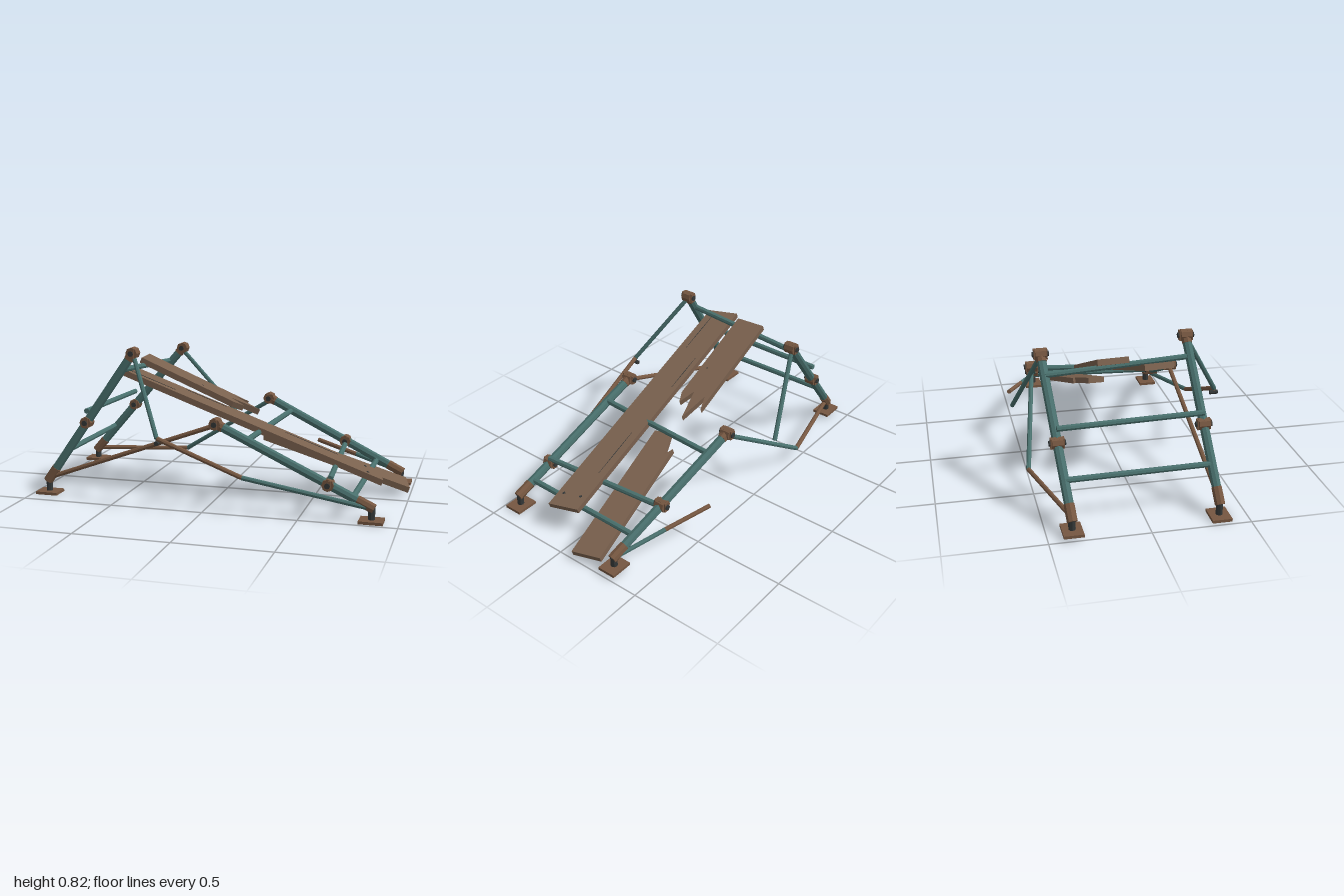
import * as THREE from 'three';

const material = (name, color) => {
  const m = new THREE.MeshStandardMaterial({ color });
  m.name = name;
  m.flatShading = true;
  return m;
};

export function createModel() {
  const group = new THREE.Group();
  group.name = 'collapsedScaffold';
  const paint = material('teal paint', 0x49706d);
  const rust = material('rust', 0x765741);
  const wood = material('weathered wood', 0x7a614e);
  const dark = material('dark steel', 0x343838);
  const V = (p) => new THREE.Vector3(...p);
  const lerp = (a, b, t) => a.map((v, i) => v + (b[i] - v) * t);

  const add = (name, geometry, mat, parent = group) => {
    const mesh = new THREE.Mesh(geometry, mat);
    mesh.name = name;
    parent.add(mesh);
    return mesh;
  };

  // Straight eight-sided pipe between two points
  const pipe = (name, a, b, r, mat) => {
    const dir = V(b).sub(V(a));
    const mesh = add(name, new THREE.CylinderGeometry(r, r, dir.length(), 8), mat);
    mesh.position.copy(V(lerp(a, b, 0.5)));
    mesh.quaternion.setFromUnitVectors(new THREE.Vector3(0, 1, 0), dir.normalize());
    return mesh;
  };

  // Clamp with a bolt through it, across the frame
  const coupler = (p) => {
    const [x, y, z] = p;
    const at = (d) => [x, y, z + d];
    pipe('coupler', at(-0.028), at(0.028), 0.032, rust);
    pipe('couplerBolt', at(-0.042), at(0.042), 0.015, dark);
    const lug = add('couplerLug', new THREE.BoxGeometry(0.03, 0.052, 0.07), rust);
    lug.position.set(x, y, z);
  };

  // Leaning posts: [base, top, height of plate underside, mid coupler fraction]
  const posts = [
    [[-0.917, 0.08, 0.36], [-0.436, 0.785, 0.305], 0.0, 0.46],
    [[-0.94, 0.085, -0.378], [-0.398, 0.725, -0.432], 0.018, 0.45],
    [[0.863, 0.075, 0.432], [0.035, 0.44, 0.358], 0.0, 0.27],
    [[0.928, 0.085, -0.303], [0.142, 0.45, -0.408], 0.018, 0.41],
  ];
  for (const [base, top, y0, mid] of posts) {
    pipe('post', base, top, 0.024, paint);
    pipe('rustedPostFoot', lerp(base, top, -0.015), lerp(base, top, 0.09), 0.0265, rust);
    pipe('rustedPostHead', lerp(base, top, 0.95), lerp(base, top, 1.01), 0.0265, rust);
    pipe('jackScrew', [base[0], y0, base[2]], base, 0.018, dark);
    const plate = add('basePlate', new THREE.BoxGeometry(0.123, 0.015, 0.1), rust);
    plate.position.set(base[0], y0 + 0.0075, base[2]);
    coupler(top);
    coupler(lerp(base, top, mid));
  }

  // Rungs of both ladder frames
  const rungs = [
    [[-0.815, 0.24, 0.35], [-0.825, 0.235, -0.39]],
    [[-0.697, 0.465, 0.335], [-0.7, 0.45, -0.405]],
    [[-0.5, 0.693, 0.31], [-0.485, 0.645, -0.42]],
    [[0.212, 0.37, 0.37], [0.278, 0.385, -0.39]],
    [[0.648, 0.203, 0.41], [0.605, 0.22, -0.363]],
    [[0.768, 0.122, 0.42], [0.79, 0.138, -0.325]],
  ];
  for (const [a, b] of rungs) pipe('rung', a, b, 0.0155, paint);

  // Bent and snapped braces
  const braces = [
    [[-0.91, 0.09, 0.36], [0.03, 0.43, 0.355], rust],
    [[-0.43, 0.77, 0.31], [-0.225, 0.385, 0.54], paint],
    [[-0.225, 0.385, 0.54], [0.215, 0.203, 0.512], rust],
    [[0.215, 0.203, 0.512], [0.85, 0.075, 0.44], paint],
    [[-0.92, 0.092, -0.38], [-0.4, 0.092, -0.51], rust],
    [[-0.4, 0.092, -0.51], [0.135, 0.43, -0.41], paint],
    [[-0.4, 0.71, -0.435], [-0.1, 0.33, -0.55], paint],
    [[0.92, 0.085, -0.31], [0.66, 0.142, -0.413], paint],
    [[0.66, 0.142, -0.413], [0.42, 0.192, -0.51], rust],
  ];
  for (const [a, b, mat] of braces) pipe('brace', a, b, 0.0125, mat);
  pipe('braceBolt', [-0.222, 0.362, 0.516], [-0.222, 0.362, 0.56], 0.012, dark);

  // Plank: outline in (length 0..1, width -0.5..0.5) laid along d and w
  const plank = (name, start, d, w, outline, marks) => {
    const D = V(d), W = V(w);
    const T = new THREE.Vector3().crossVectors(D, W).normalize();
    const origin = V(start).addScaledVector(T, -0.016);
    const basis = new THREE.Matrix4().makeBasis(D, W, T).setPosition(origin);
    const slab = (label, pts, z, depth, mat) => {
      const shape = new THREE.Shape(pts.map(([u, v]) => new THREE.Vector2(u, v)));
      const g = new THREE.ExtrudeGeometry(shape, { depth, bevelEnabled: false });
      g.translate(0, 0, z);
      add(label, g.applyMatrix4(basis), mat);
    };
    slab(name, outline, 0, 0.032, wood);
    // Cracks and nail heads on the upper face
    for (const [u, v, du, dv] of marks) {
      slab(dv > 0.03 ? 'nailHead' : 'crack',
        [[u, v], [u + du / 2, v - dv / 2], [u + du, v], [u + du / 2, v + dv / 2]],
        -0.002, 0.003, dark);
    }
  };
  plank('longPlank', [-0.56, 0.675, 0.14], [1.42, -0.53, -0.038], [0.045, -0.012, 0.163],
    [[0, -0.5], [1, -0.5], [1, 0.5], [0, 0.5]],
    [[0.01, 0.25, 0.2, 0.02], [0.25, -0.33, 0.16, 0.02], [0.64, -0.25, 0.2, 0.02],
      [0.94, 0.3, 0.012, 0.1], [0.94, -0.28, 0.012, 0.1]]);
  plank('snappedPlankUpper', [-0.515, 0.703, -0.085], [0.665, -0.285, -0.015], [0.012, 0, 0.163],
    [[0, -0.5], [0.885, -0.5], [0.77, -0.33], [1, -0.1], [0.76, 0.12], [0.885, 0.34],
      [0.8, 0.5], [0, 0.5]],
    [[0.52, 0.28, 0.012, 0.05]]);
  plank('snappedPlankLower', [0.195, 0.315, -0.06], [0.783, -0.27, -0.102], [0.038, -0.015, 0.158],
    [[0.12, -0.5], [1, -0.5], [1, 0.5], [0, 0.5], [0, -0.1], [0.17, -0.34]],
    []);

  return group;
}
